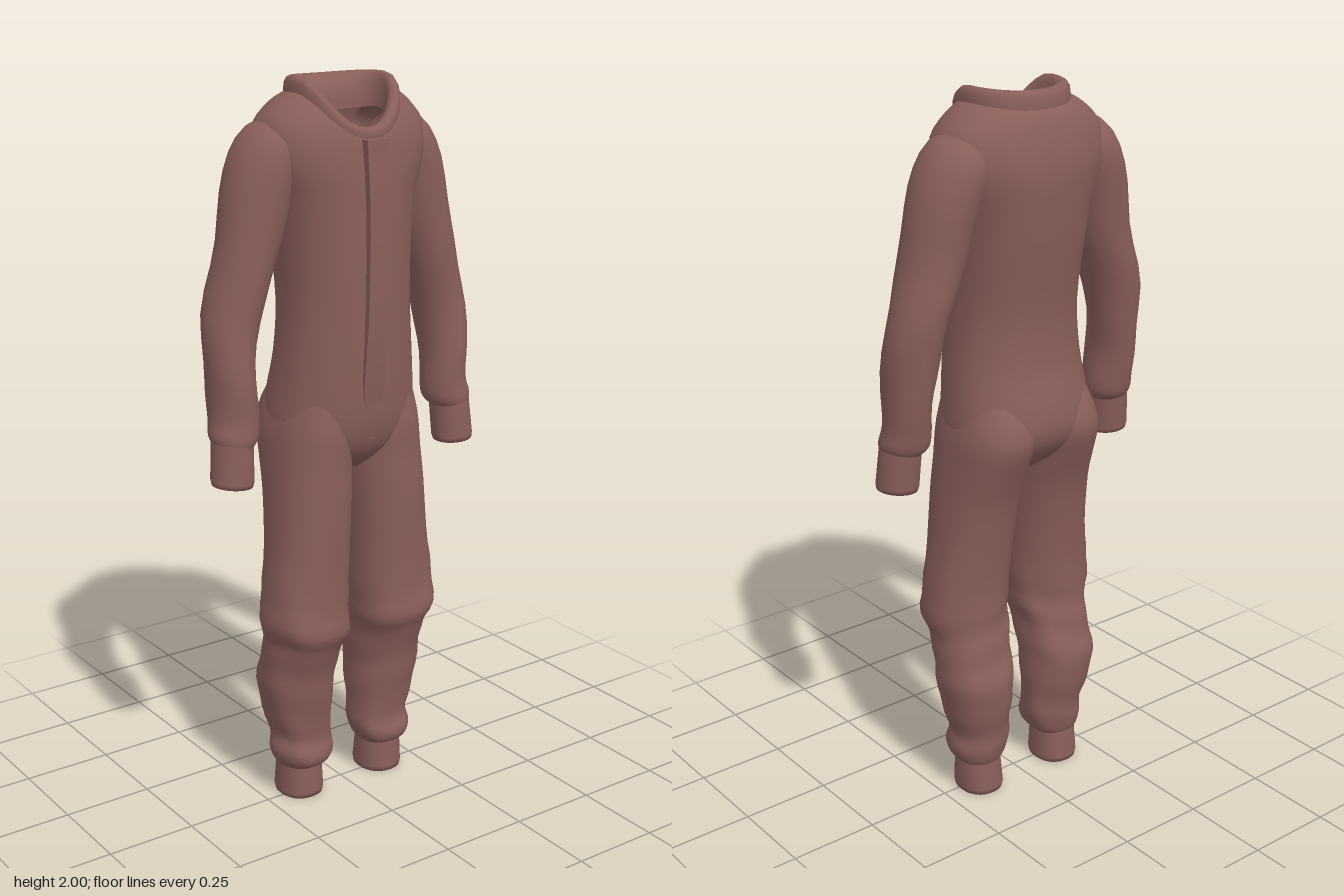
import * as THREE from 'three';

const SIDES = 32;

// Catmull-Rom blend of the numeric rows, t in 0..rows.length-1
function sampleRow(rows, t) {
  const last = rows.length - 1;
  const i = Math.min(Math.floor(t), last - 1), f = t - i;
  const r = k => rows[Math.max(0, Math.min(last, k))];
  const [a, b, c, d] = [r(i - 1), r(i), r(i + 1), r(i + 2)];
  return b.map((v, k) => v + 0.5 * f * (c[k] - a[k]
    + f * (2 * a[k] - 5 * v + 4 * c[k] - d[k] + f * (3 * (v - c[k]) + d[k] - a[k]))));
}

// Skin of rings running from the top down; ringPoint(row, cos, sin, angle) gives [x, y, z]
function loft(rows, steps, ringPoint, side = 1) {
  const pos = [], index = [], count = (rows.length - 1) * steps;
  for (let i = 0; i <= count; i++) {
    const row = sampleRow(rows, i / steps);
    for (let j = 0; j < SIDES; j++) {
      const a = j / SIDES * Math.PI * 2;
      const [x, y, z] = ringPoint(row, Math.cos(a), Math.sin(a), a);
      pos.push(x * side, y, z);
      if (i === count) continue;
      const p = i * SIDES + j, q = i * SIDES + (j + 1) % SIDES;
      if (side > 0) index.push(p, q, p + SIDES, q, q + SIDES, p + SIDES);
      else index.push(p, p + SIDES, q, q, p + SIDES, q + SIDES);
    }
  }
  const g = new THREE.BufferGeometry();
  g.setAttribute('position', new THREE.Float32BufferAttribute(pos, 3));
  g.setIndex(index);
  g.computeVertexNormals();
  return g;
}

// Slightly squared circle
const soft = v => Math.sign(v) * Math.pow(Math.abs(v), 0.88);

// Torso row: front y, back y, side y, half width, front z, back z
function torsoPoint([yf, yb, ys, rx, zf, zb], c, s) {
  const mid = (zf + zb) / 2, depth = (zf - zb) / 2;
  const y = ys * c * c + (s > 0 ? yf : yb) * s * s;
  return [rx * soft(c), y, mid + depth * soft(s)];
}

// Leg row: y, inner x, outer x, front z, back z, fold depth
function legPoint([y, x0, x1, zf, zb, fold], c, s, a) {
  const k = 1 + fold * Math.sin(3 * a + 38 * y) * Math.cos(2 * a - 21 * y);
  return [(x0 + x1) / 2 + (x1 - x0) / 2 * soft(c) * k,
    y + fold * 0.12 * Math.sin(2 * a + 1),
    (zf + zb) / 2 + (zf - zb) / 2 * soft(s) * k];
}

// Sleeve row: centre x, y, z, radius, depth radius, ring tilt, fold depth
function sleevePoint([x, y, z, r, rz, tilt, fold], c, s, a) {
  const k = 1 + fold * Math.sin(2 * a + 24 * y);
  return [x + Math.cos(tilt) * r * c * k, y + Math.sin(tilt) * r * c * k, z + rz * s * k];
}

const level = (y, rx, zf, zb) => [y, y, y, rx, zf, zb];

export function createModel() {
  const group = new THREE.Group();
  const cloth = new THREE.MeshStandardMaterial({ color: 0x8a5f5a, side: THREE.DoubleSide });
  cloth.name = 'dusty brown cloth';
  const add = (name, geometry) => {
    const mesh = new THREE.Mesh(geometry, cloth);
    mesh.name = name;
    group.add(mesh);
  };

  // Body from the shoulders to the crotch
  add('torso', loft([
    [1.86, 1.95, 1.962, 0.145, 0.138, -0.125],
    [1.845, 1.925, 1.935, 0.19, 0.142, -0.148],
    [1.82, 1.87, 1.885, 0.235, 0.146, -0.167],
    [1.77, 1.8, 1.8, 0.24, 0.152, -0.18],
    level(1.7, 0.205, 0.157, -0.177),
    level(1.58, 0.187, 0.162, -0.165),
    level(1.42, 0.18, 0.164, -0.142),
    level(1.28, 0.19, 0.163, -0.145),
    level(1.17, 0.203, 0.16, -0.17),
    level(1.09, 0.208, 0.152, -0.174),
    level(1.02, 0.18, 0.125, -0.13),
    level(0.96, 0.06, 0.06, -0.05),
    level(0.945, 0.004, 0.01, -0.005),
  ], 3, torsoPoint));

  // Raised neck band, turned in at the top
  add('collar', loft([
    [1.80, 1.9, 1.91, 0.105, 0.1, -0.055],
    [1.845, 1.95, 1.96, 0.113, 0.1, -0.06],
    [1.87, 1.98, 1.99, 0.12, 0.108, -0.085],
    [1.876, 1.992, 1.999, 0.132, 0.127, -0.112],
    [1.865, 1.975, 1.985, 0.146, 0.142, -0.128],
    [1.84, 1.935, 1.945, 0.148, 0.14, -0.132],
  ].reverse(), 2, torsoPoint).scale(1, 1, 1));

  // Front closing strip, bent along the chest and belly
  const strip = new THREE.BoxGeometry(0.066, 0.79, 0.034, 2, 20, 1);
  const p = strip.attributes.position;
  const bend = [[0.128, 0], [0.15, -0.008], [0.163, -0.004], [0.166, 0], [0.165, 0.002], [0.16, 0]];
  for (let i = 0; i < p.count; i++) {
    const t = p.getY(i) / 0.79 + 0.5;
    const [z, x] = sampleRow(bend, t * 5);
    const narrow = Math.min(1, 0.3 + t * 4);
    p.setXYZ(i, p.getX(i) * narrow + x, 1.06 + t * 0.79, p.getZ(i) + z - 0.012 * t * t);
  }
  strip.computeVertexNormals();
  add('frontPlacket', strip);

  for (const side of [1, -1]) {
    const label = side > 0 ? 'left' : 'right';

    add(label + 'Sleeve', loft([
      [0.11, 1.865, -0.02, 0.05, 0.08, 1.2, 0],
      [0.19, 1.822, -0.025, 0.085, 0.105, 0.85, 0],
      [0.238, 1.74, -0.025, 0.09, 0.103, 0.42, 0],
      [0.278, 1.58, -0.02, 0.08, 0.092, 0.27, 0.02],
      [0.332, 1.4, -0.018, 0.071, 0.084, 0.18, 0.04],
      [0.347, 1.25, 0, 0.064, 0.077, 0.03, 0.04],
      [0.344, 1.15, 0.008, 0.062, 0.073, 0.03, 0.04],
      [0.35, 1.1, 0.015, 0.064, 0.07, 0.08, 0.03],
      [0.357, 1.075, 0.022, 0.05, 0.056, 0.1, 0],
    ], 3, sleevePoint, side));

    // Wrist band with a turned-in, open end
    add(label + 'WristCuff', loft([
      [0.357, 1.095, 0.02, 0.054, 0.06, 0.08, 0],
      [0.364, 0.985, 0.029, 0.057, 0.059, 0.08, 0],
      [0.365, 0.972, 0.03, 0.054, 0.056, 0.08, 0],
      [0.365, 0.971, 0.03, 0.034, 0.034, 0.08, 0],
      [0.361, 1.03, 0.026, 0.034, 0.034, 0.08, 0],
    ], 1, sleevePoint, side));

    // Loose leg bagging at the knee and above the ankle
    add(label + 'Leg', loft([
      [1.22, 0.01, 0.18, 0.12, -0.12, 0],
      [1.1, 0.004, 0.212, 0.142, -0.178, 0],
      [1.0, 0.007, 0.222, 0.142, -0.15, 0],
      [0.9, 0.012, 0.23, 0.145, -0.115, 0],
      [0.75, 0.02, 0.242, 0.143, -0.088, 0],
      [0.62, 0.023, 0.26, 0.142, -0.076, 0.03],
      [0.53, 0.027, 0.264, 0.15, -0.076, 0.05],
      [0.48, 0.035, 0.25, 0.132, -0.085, 0.05],
      [0.42, 0.04, 0.25, 0.106, -0.1, 0.04],
      [0.35, 0.043, 0.25, 0.094, -0.117, 0.03],
      [0.26, 0.045, 0.235, 0.08, -0.105, 0.03],
      [0.19, 0.05, 0.217, 0.07, -0.09, 0.05],
      [0.145, 0.047, 0.22, 0.084, -0.087, 0.05],
      [0.11, 0.06, 0.212, 0.075, -0.082, 0.03],
      [0.09, 0.08, 0.195, 0.052, -0.07, 0],
    ], 3, legPoint, side));

    // Ankle band with a turned-in, open end
    add(label + 'AnkleCuff', loft([
      [0.12, 0.08, 0.197, 0.055, -0.074, 0],
      [0.015, 0.073, 0.202, 0.06, -0.084, 0],
      [0, 0.076, 0.199, 0.057, -0.081, 0],
      [0, 0.1, 0.175, 0.03, -0.055, 0],
      [0.07, 0.1, 0.175, 0.03, -0.055, 0],
    ], 1, legPoint, side));
  }
  return group;
}
